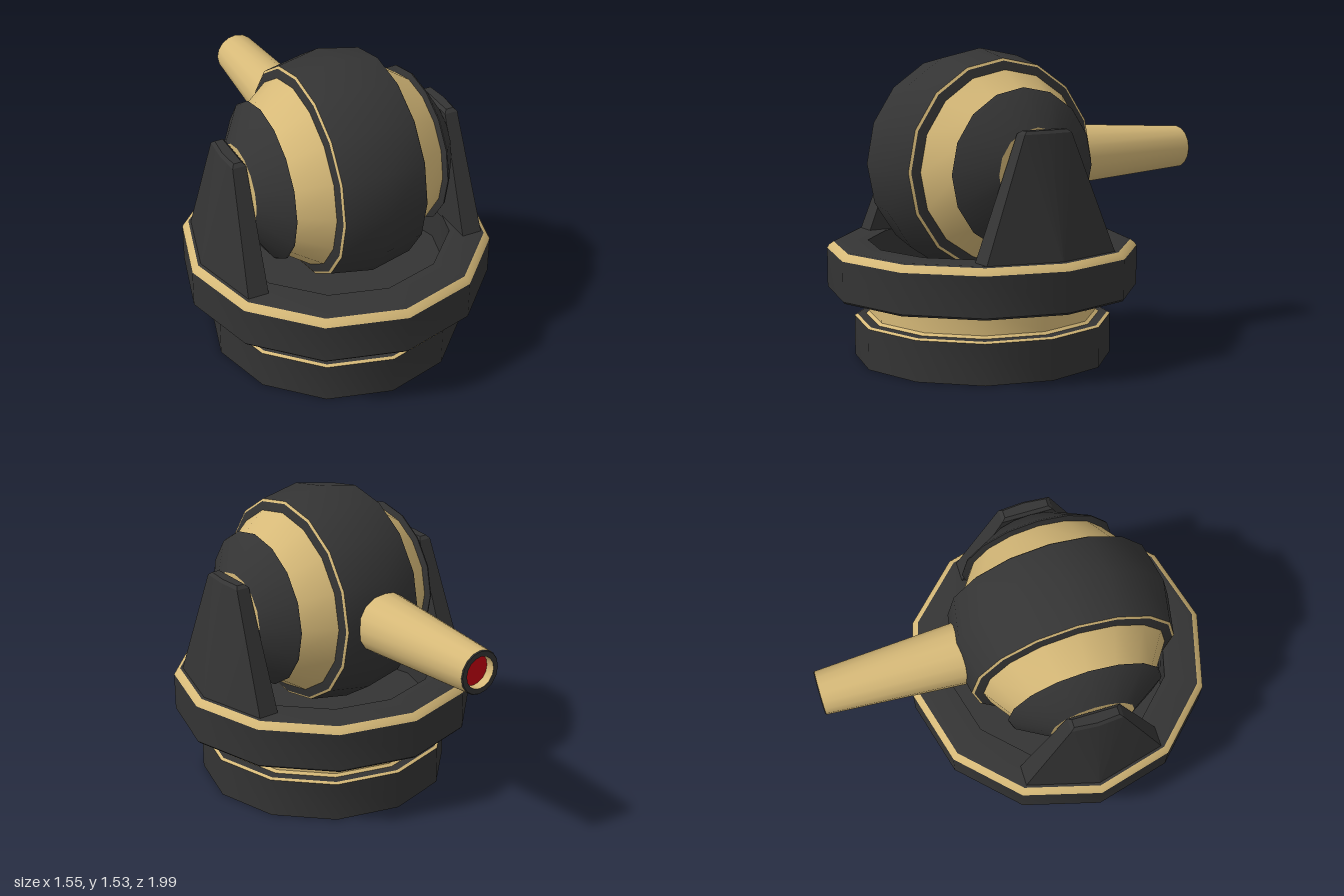
import * as THREE from 'three';
import { toCreasedNormals } from 'three/addons/utils/BufferGeometryUtils.js';
import { ConvexGeometry } from 'three/addons/geometries/ConvexGeometry.js';

const paint = (color) => new THREE.MeshStandardMaterial({ color, side: THREE.DoubleSide });

export function createModel() {
  const dark = paint(0x343434), gold = paint(0xd6b978), red = paint(0xc4000f);
  const model = new THREE.Group();
  model.name = 'turret';

  // Turned band from [radius, height] points, listed bottom to top on the outside
  const turned = (parent, name, material, points, sides) => {
    const lathe = new THREE.LatheGeometry(points.map(([r, h]) => new THREE.Vector2(r, h)), sides);
    const mesh = new THREE.Mesh(toCreasedNormals(lathe, 0.56), material);
    mesh.name = name;
    parent.add(mesh);
    return mesh;
  };

  // Base: open hollow foot, neck and wide collar with a sunken floor
  const base = new THREE.Group();
  base.name = 'base';
  base.position.z = 0.22;
  model.add(base);
  turned(base, 'footRing', dark, [[0.642, 0], [0.642, 0.2]], 12);
  turned(base, 'footTrim', gold, [[0.642, 0.2], [0.628, 0.208]], 12);
  turned(base, 'footShoulder', dark, [[0.628, 0.208], [0.585, 0.21]], 12);
  turned(base, 'neck', gold, [[0.585, 0.21], [0.57, 0.222], [0.57, 0.34]], 12);
  turned(base, 'collar', dark, [[0.57, 0.34], [0.765, 0.34], [0.774, 0.35], [0.774, 0.545]], 12);
  turned(base, 'collarTrim', gold, [[0.774, 0.545], [0.765, 0.56], [0.742, 0.577]], 12);
  turned(base, 'collarTop', dark, [[0.742, 0.577], [0.73, 0.582], [0.57, 0.582], [0.57, 0.345], [0, 0.345]], 12);

  // Ball head, turned about the sideways axis
  const head = new THREE.Group();
  head.name = 'head';
  head.position.set(0, 0.975, 0.23);
  model.add(head);
  const ball = new THREE.Group();
  ball.name = 'ball';
  ball.rotation.z = -Math.PI / 2;
  head.add(ball);
  turned(ball, 'centreBand', dark, [[0.52, -0.213], [0.56, 0], [0.52, 0.213]], 16);
  for (const s of [-1, 1]) {
    const side = s > 0 ? 'left' : 'right';
    const band = (name, material, points) =>
      turned(ball, side + name, material, s > 0
        ? points.slice().reverse().map(([r, h]) => [r, h]).reverse()
        : points.map(([r, h]) => [r, -h]).reverse(), 16);
    band('PinStripe', gold, [[0.52, 0.213], [0.508, 0.22]]);
    band('Step', dark, [[0.508, 0.22], [0.465, 0.232]]);
    band('GoldBand', gold, [[0.465, 0.232], [0.357, 0.39]]);
    band('Cap', dark, [[0.357, 0.388], [0.392, 0.398], [0.386, 0.408], [0.212, 0.522]]);
    band('Hub', gold, [[0.212, 0.522], [0, 0.522]]);
  }

  // Barrel pointing to the rear with a recessed red lens
  const barrel = new THREE.Group();
  barrel.name = 'barrel';
  barrel.rotation.x = -Math.PI / 2;
  head.add(barrel);
  turned(barrel, 'barrelTube', gold, [[0.16, 0.45], [0.11, 1.225]], 16);
  turned(barrel, 'muzzleRim', dark, [[0.11, 1.225], [0.106, 1.23], [0.08, 1.23]], 16);
  turned(barrel, 'muzzleBore', gold, [[0.08, 1.23], [0.08, 1.185]], 16);
  turned(barrel, 'lens', red, [[0.08, 1.185], [0, 1.185]], 16);

  // Tapered brackets either side; each section: height, inner x, outer corner x, outer middle x, half depth
  const sections = [
    [0.57, 0.53, 0.635, 0.73, 0.362],
    [0.61, 0.53, 0.63, 0.718, 0.335],
    [1.165, 0.53, 0.598, 0.608, 0.13],
    [1.18, 0.545, 0.585, 0.595, 0.112],
  ];
  for (const s of [-1, 1]) {
    const corners = sections.flatMap(([y, inner, outer, middle, d]) => [
      [inner, y, -d], [inner, y, d], [outer, y, -d], [outer, y, d], [middle, y, 0],
    ].map(([x, h, z]) => new THREE.Vector3(s * x, h, z)));
    const bracket = new THREE.Mesh(toCreasedNormals(new ConvexGeometry(corners), 0.3), dark);
    bracket.name = s > 0 ? 'leftBracket' : 'rightBracket';
    bracket.position.z = 0.22;
    model.add(bracket);
  }
  return model;
}
